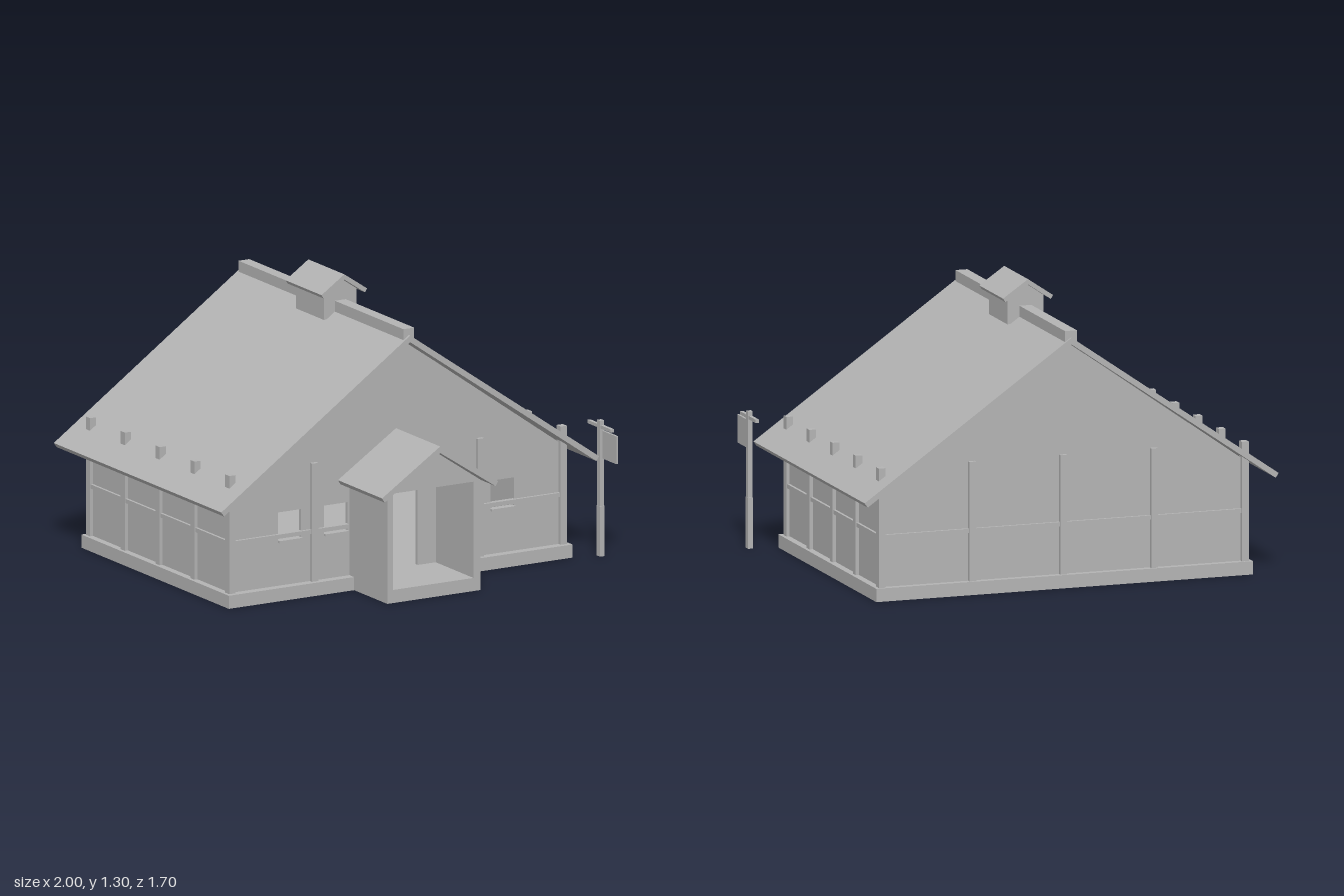
import * as THREE from 'three';

const grey = new THREE.MeshStandardMaterial({ color: 0xb4b4b4 });
grey.name = 'plain grey';

// Box given by its minimum and maximum on each axis
function box(parent, name, x0, x1, y0, y1, z0, z1) {
  const mesh = new THREE.Mesh(new THREE.BoxGeometry(x1 - x0, y1 - y0, z1 - z0), grey);
  mesh.position.set((x0 + x1) / 2, (y0 + y1) / 2, (z0 + z1) / 2);
  mesh.name = name;
  parent.add(mesh);
}

// Outline in x and y with rectangular holes, extruded from z0 to z1
function slab(parent, name, points, z0, z1, holes = []) {
  const shape = new THREE.Shape(points.map(([x, y]) => new THREE.Vector2(x, y)));
  for (const [x0, x1, y0, y1] of holes) {
    shape.holes.push(new THREE.Path([[x0, y0], [x0, y1], [x1, y1], [x1, y0]].map(([x, y]) => new THREE.Vector2(x, y))));
  }
  const geometry = new THREE.ExtrudeGeometry(shape, { depth: z1 - z0, bevelEnabled: false });
  geometry.translate(0, 0, z0);
  const mesh = new THREE.Mesh(geometry, grey);
  mesh.name = name;
  parent.add(mesh);
}

// Two-sided pitched roof of even thickness with square-cut eaves
function roof(parent, name, half, apex, eave, thick, z0, z1) {
  const a = Math.atan2(apex - eave, half);
  const inX = half - thick * Math.sin(a), inY = eave - thick * Math.cos(a);
  slab(parent, name, [
    [-half, eave], [-inX, inY], [0, apex - thick / Math.cos(a)],
    [inX, inY], [half, eave], [0, apex],
  ], z0, z1);
}

// Five-sided gable outline
const gable = (half, bottom, side, apex) =>
  [[-half, bottom], [half, bottom], [half, side], [0, apex], [-half, side]];

export function createModel() {
  const model = new THREE.Group();
  model.name = 'house';
  const house = new THREE.Group();
  house.name = 'building';
  house.position.x = -0.025;
  model.add(house);

  // Base and walls
  box(house, 'base', -0.887, 0.887, 0, 0.06, -0.76, 0.51);
  const windows = [[-0.61, -0.49], [-0.372, -0.25], [0.247, 0.367], [0.487, 0.61]];
  slab(house, 'frontWall', gable(0.855, 0.05, 0.515, 1.122), 0.45, 0.47, [
    [-0.115, 0.112, 0.06, 0.495],
    ...windows.map(([x0, x1]) => [x0, x1, 0.265, 0.395]),
  ]);
  slab(house, 'backWall', gable(0.855, 0.05, 0.515, 1.122), -0.73, -0.71);
  for (const s of [-1, 1]) {
    const x = s * 0.845;
    box(house, 'sideWall', x - 0.01, x + 0.01, 0.05, 0.518, -0.72, 0.46);
  }
  for (const [x0, x1] of windows) box(house, 'windowSill', x0, x1, 0.257, 0.267, 0.45, 0.485);

  // Posts along the sides, then across the front and back
  const post = (x, z) => box(house, 'post', x - 0.016, x + 0.016, 0.06, 0.6, z - 0.018, z + 0.018);
  for (const x of [-0.855, 0.855]) {
    for (let i = 0; i < 5; i++) post(x, -0.73 + i * 0.3);
    box(house, 'sideRail', x - 0.012, x + 0.012, 0.278, 0.297, -0.73, 0.47);
  }
  for (const x of [-0.428, 0.428]) post(x, 0.47);
  for (const x of [-0.428, 0, 0.428]) post(x, -0.73);
  box(house, 'backRail', -0.855, 0.855, 0.278, 0.297, -0.743, -0.718);
  box(house, 'frontRail', -0.855, -0.25, 0.278, 0.297, 0.458, 0.483);
  box(house, 'frontRail', 0.25, 0.855, 0.278, 0.297, 0.458, 0.483);

  // Main roof with its ridge cap
  roof(house, 'mainRoof', 0.975, 1.15, 0.47, 0.025, -0.85, 0.592);
  box(house, 'ridgeCap', -0.028, 0.028, 1.12, 1.18, -0.84, 0.58);

  // Roof turret
  slab(house, 'turret', gable(0.085, 1.1, 1.222, 1.28), -0.25, -0.01);
  roof(house, 'turretRoof', 0.118, 1.305, 1.225, 0.02, -0.285, 0.025);

  // Open porch
  slab(house, 'porch', gable(0.24, 0, 0.505, 0.668), 0.465, 0.795, [[-0.21, 0.205, 0.06, 0.5]]);
  roof(house, 'porchRoof', 0.3, 0.7, 0.502, 0.025, 0.45, 0.85);

  // Hanging sign on a pole
  const sign = new THREE.Group();
  sign.name = 'sign';
  model.add(sign);
  box(sign, 'poleFoot', 0.974, 0.998, 0, 0.23, 0.528, 0.56);
  box(sign, 'pole', 0.975, 0.997, 0.23, 0.62, 0.532, 0.556);
  box(sign, 'crossArm', 0.978, 0.994, 0.585, 0.6, 0.443, 0.645);
  box(sign, 'board', 0.981, 0.991, 0.45, 0.577, 0.57, 0.688);
  for (const z of [0.59, 0.635]) box(sign, 'hanger', 0.984, 0.988, 0.575, 0.588, z - 0.002, z + 0.002);

  return model;
}
